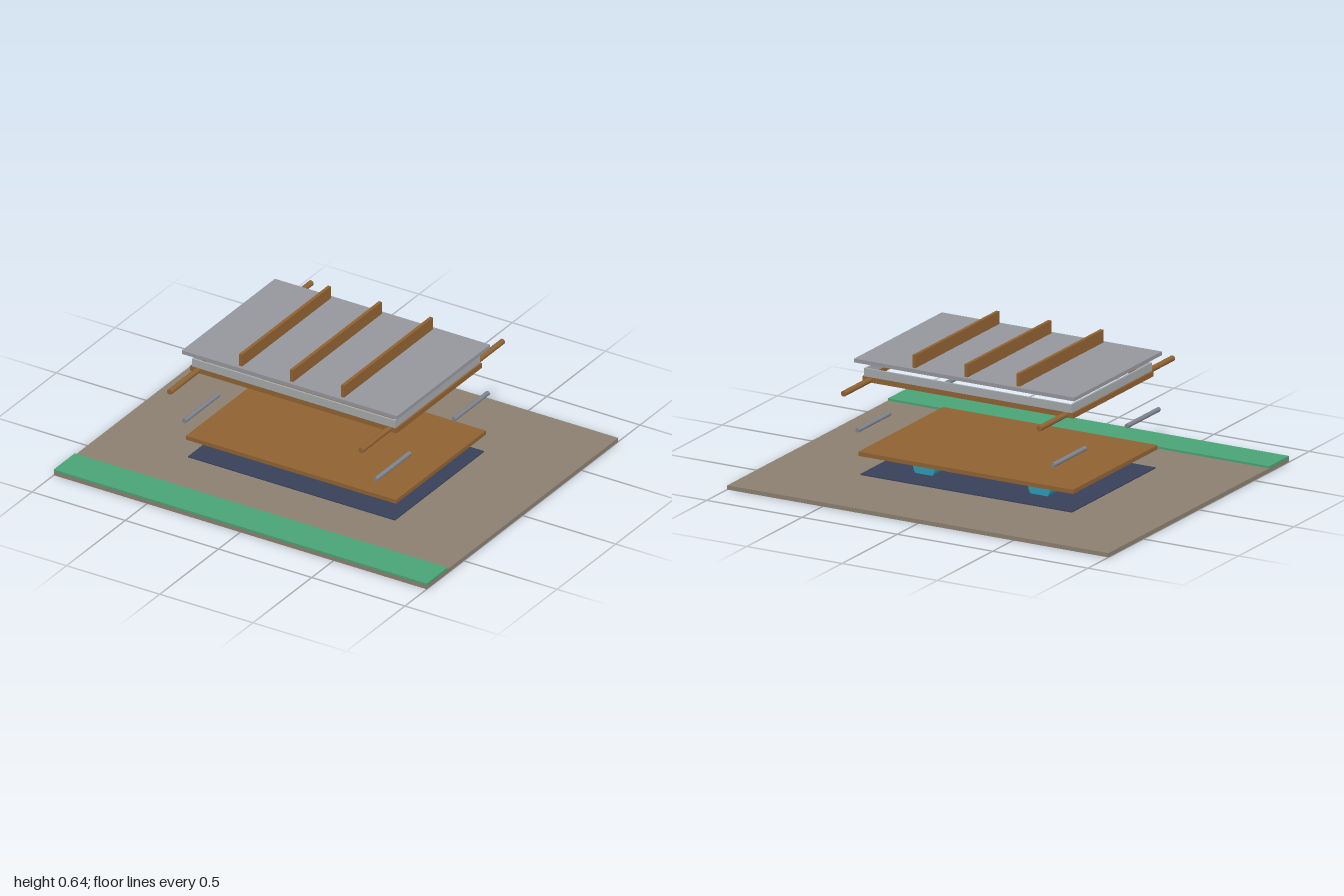
import * as THREE from 'three';

const COLORS = {
  ground: 0x8b7f70, green: 0x4aa377, wood: 0x8f6232, teal: 0x2f9ab5,
  sheet: 0x95969c, wall: 0xa3a8aa, steel: 0x7d828c, mat: 0x38405a,
};
const SIDES = [-1, 1];

export function createModel() {
  const model = new THREE.Group();
  const materials = {};
  for (const key in COLORS) materials[key] = new THREE.MeshStandardMaterial({ color: COLORS[key] });

  const add = (name, geometry, color, x, y, z) => {
    const mesh = new THREE.Mesh(geometry, materials[color]);
    mesh.name = name;
    mesh.position.set(x, y, z);
    model.add(mesh);
    return mesh;
  };
  // Box spanning y0 to y1
  const slab = (name, color, w, d, y0, y1, x = 0, z = 0) =>
    add(name, new THREE.BoxGeometry(w, y1 - y0, d), color, x, (y0 + y1) / 2, z);
  // Round bar lying along z
  const bar = (name, color, r, length, x, y, z, segments = 20) =>
    add(name, new THREE.CylinderGeometry(r, r, length, segments).rotateX(Math.PI / 2), color, x, y, z);

  // Ground plate, green strip along the front edge, dark mat
  slab('groundPlate', 'ground', 2, 1.63, 0, 0.02);
  slab('greenStrip', 'green', 2, 0.178, 0.02, 0.03, 0, 0.726);
  slab('mat', 'mat', 1.11, 0.758, 0.02, 0.025);

  // Rollers carrying the lower board
  for (const x of SIDES) for (const z of SIDES)
    bar('roller', 'teal', 0.057, 0.08, x * 0.302, 0.06, z * 0.2, 32);
  slab('lowerBoard', 'wood', 1.126, 0.766, 0.111, 0.131);

  // Loose steel pins
  for (const x of SIDES) for (const z of SIDES)
    bar('pin', 'steel', 0.011, 0.29, x * 0.513, 0.267, z * 0.333);

  // Open wooden frame, thin upright walls above it, and carrying handles
  for (const s of SIDES) {
    slab('frameCrossRail', 'wood', 1.106, 0.018, 0.463, 0.488, 0, s * 0.354);
    slab('frameSideRail', 'wood', 0.018, 0.69, 0.463, 0.488, s * 0.544);
    slab('longWall', 'wall', 1.088, 0.01, 0.488, 0.527, 0, s * 0.358);
    slab('sideWall', 'wall', 0.01, 0.706, 0.488, 0.527, s * 0.539);
    for (const z of SIDES)
      bar('handle', 'wood', 0.0135, 0.256, s * 0.513, 0.476, z * 0.475);
  }

  // Roof sheet with three ribs set through it
  slab('roofSheet', 'sheet', 1.154, 0.792, 0.558, 0.576);
  for (const x of [-0.273, 0, 0.273])
    slab('roofRib', 'wood', 0.016, 0.756, 0.556, 0.637, x);

  return model;
}
